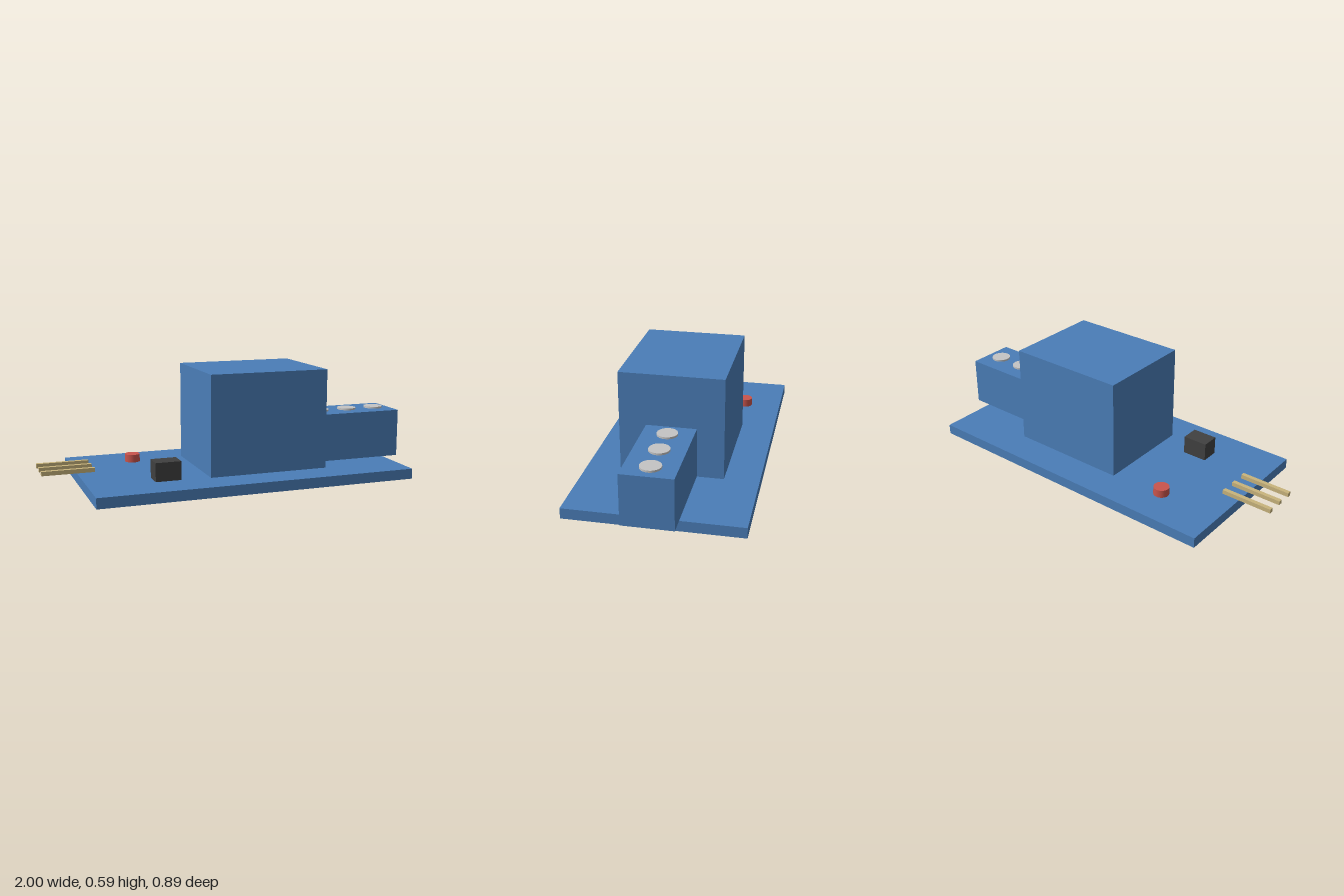
import * as THREE from 'three';

const material = (name, color) => {
  const m = new THREE.MeshStandardMaterial({ color });
  m.name = name;
  return m;
};

export function createModel() {
  const group = new THREE.Group();
  const blue = material('blue plastic', 0x4a7db7);
  const silver = material('silver metal', 0xc4c4c4);
  const gold = material('gold metal', 0xc8b47c);
  const charcoal = material('charcoal plastic', 0x404040);
  const red = material('red lens', 0xc9544c);

  const add = (name, geometry, mat, x, y, z) => {
    const mesh = new THREE.Mesh(geometry, mat);
    mesh.name = name;
    mesh.position.set(x, y, z);
    group.add(mesh);
  };
  // Box given by its lower and upper corners
  const box = (name, mat, [x0, y0, z0], [x1, y1, z1]) =>
    add(name, new THREE.BoxGeometry(x1 - x0, y1 - y0, z1 - z0), mat,
      (x0 + x1) / 2, (y0 + y1) / 2, (z0 + z1) / 2);
  // Upright disc standing on height y0
  const disc = (name, mat, radius, x, y0, y1, z) =>
    add(name, new THREE.CylinderGeometry(radius, radius, y1 - y0, 32), mat, x, (y0 + y1) / 2, z);

  const top = 0.055;

  // Circuit board with the relay and the screw terminal block
  box('board', blue, [-0.796, 0, -0.443], [0.91, top, 0.443]);
  box('relay', blue, [-0.165, top, -0.265], [0.483, 0.587, 0.265]);
  box('terminalBlock', blue, [0.483, top, -0.128], [1, 0.317, 0.128]);

  // Terminal screws
  for (const x of [0.57, 0.74, 0.91]) disc('terminalScrew', silver, 0.052, x, 0.317, 0.327, 0);

  // Header pins
  for (const z of [-0.088, 0, 0.088]) {
    box('headerPin', gold, [-1, 0.095, z - 0.011], [-0.73, 0.117, z + 0.011]);
  }

  // Small components
  box('chip', charcoal, [-0.455, top, 0.157], [-0.32, 0.153, 0.254]);
  disc('indicatorLight', red, 0.041, -0.455, top, 0.097, -0.239);

  return group;
}
